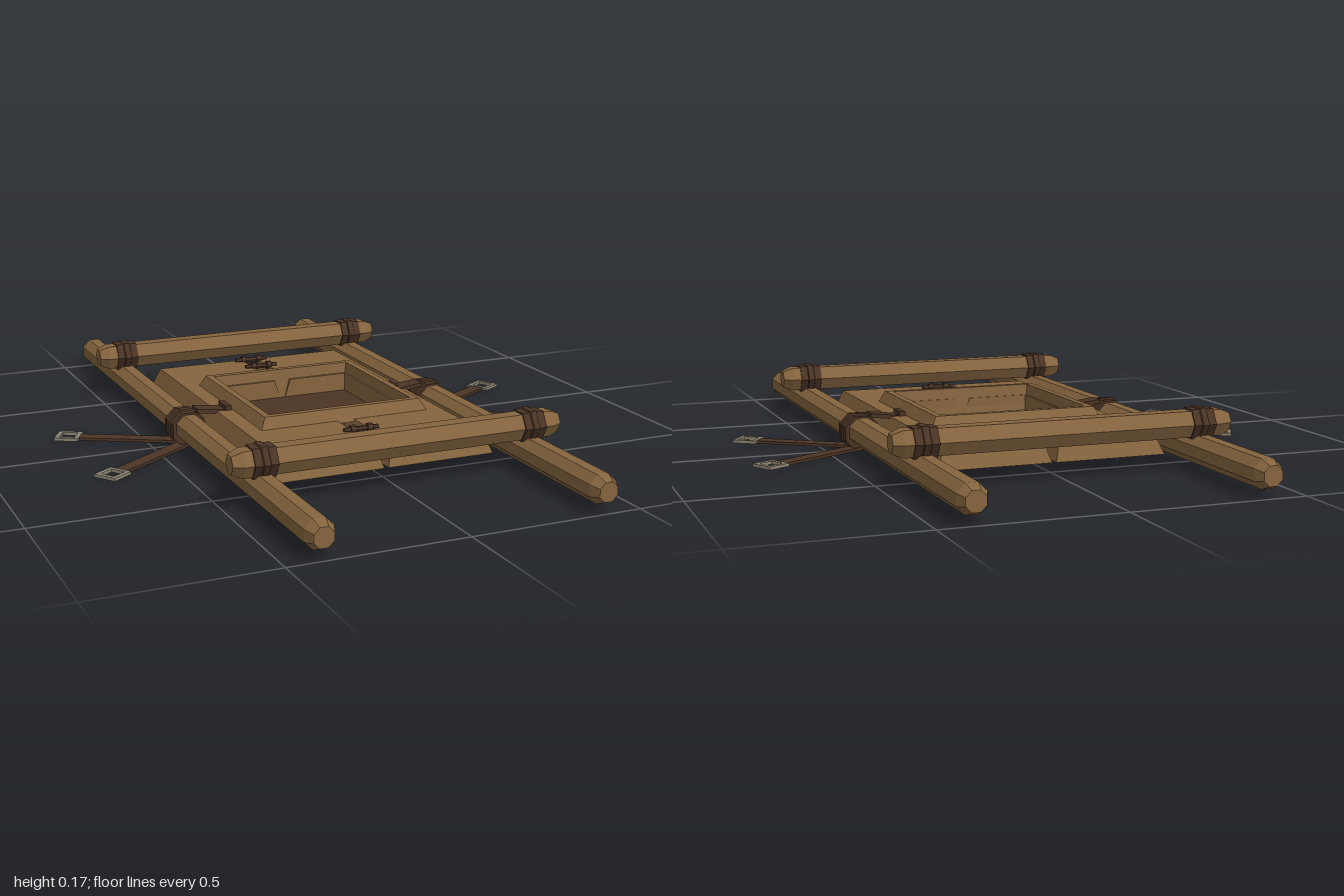
import * as THREE from 'three';

const mat = (name, color, side = THREE.FrontSide) => {
  const m = new THREE.MeshStandardMaterial({ color, flatShading: true, side });
  m.name = name;
  return m;
};

export function createModel() {
  const wood = mat('wood', 0x86653f);
  const leather = mat('dark leather', 0x4b3425);
  const metal = mat('buckle metal', 0x8c8474);
  const model = new THREE.Group();

  const add = (name, geo, material, x = 0, y = 0, z = 0, parent = model) => {
    const mesh = new THREE.Mesh(geo, material);
    mesh.name = name;
    mesh.position.set(x, y, z);
    parent.add(mesh);
    return mesh;
  };

  // faceted solid of revolution along y from [radius, y] pairs
  const turned = (pts, sides, start = 0) =>
    new THREE.LatheGeometry(pts.map(p => new THREE.Vector2(...p)), sides, start);

  // pole with chamfered ends
  const pole = (r, half, sides, start) => turned(
    [[0, -half], [r * 0.68, -half], [r, -half + 0.03], [r, half - 0.03], [r * 0.68, half], [0, half]], sides, start);

  // wrapped cord: three turns with the middle one raised
  const wrap = (r, half, sides, start) => {
    const a = half / 3, s = r * 0.92;
    return turned([[0, -half], [s, -half], [s, -a], [r, -a * 0.8], [r, a * 0.8], [s, a], [s, half], [0, half]], sides, start);
  };

  // box whose top edges are inset by [x0, x1, z0, z1]
  const bevelled = (x0, x1, z0, z1, y0, y1, inset) => {
    const g = new THREE.BoxGeometry(1, 1, 1), p = g.attributes.position;
    for (let i = 0; i < p.count; i++) {
      const k = p.getY(i) > 0 ? 1 : 0;
      p.setXYZ(i,
        p.getX(i) < 0 ? x0 + k * inset[0] : x1 - k * inset[1],
        k ? y1 : y0,
        p.getZ(i) < 0 ? z0 + k * inset[2] : z1 - k * inset[3]);
    }
    g.computeVertexNormals();
    return g;
  };

  // long side rails and their centre collars
  for (const s of [-1, 1]) {
    add('sideRail', pole(0.043, 1, 8, Math.PI / 8).rotateX(Math.PI / 2), wood, s * 0.4, 0.06, 0);
    add('railCollar', wrap(0.059, 0.038, 8, Math.PI / 8).rotateX(Math.PI / 2), leather, s * 0.4, 0.055, 0);
  }

  // cross bars lashed on top of the rails
  for (const z of [-0.6, 0.6]) {
    add('crossBar', pole(0.042, 0.488, 6).rotateZ(Math.PI / 2), wood, 0, 0.131, z);
    for (const x of [-0.4, 0.4])
      add('barLashing', wrap(0.051, 0.033, 6).rotateZ(Math.PI / 2), leather, x, 0.131, z);
  }

  // two bevelled deck panels, notched around the central well
  const b = 0.025, y0 = 0.033, y1 = 0.097, w = 0.215;
  for (const s of [-1, 1]) {
    const piece = (xa, xb, z0, z1, ia, ib, iz0, iz1) => add('deckPanel', s > 0
      ? bevelled(xa, xb, z0, z1, y0, y1, [ia, ib, iz0, iz1])
      : bevelled(-xb, -xa, z0, z1, y0, y1, [ib, ia, iz0, iz1]), wood);
    piece(0.006, 0.335, -0.53, -w, 0.02, b, b, 0);
    piece(0.006, 0.335, w, 0.525, 0.02, b, 0, b);
    piece(w, 0.335, -w, w, 0, b, 0, 0);
  }

  // raised square frame with inner walls down to the dark floor
  const q = Math.SQRT2;
  add('wellFrame', turned([[0.265 * q, 0.09], [0.245 * q, 0.13], [0.225 * q, 0.13], [0.214 * q, 0.035]],
    4, Math.PI / 4), wood, 0, 0, -0.003);
  add('wellFloor', new THREE.BoxGeometry(0.43, 0.01, 0.43), leather, 0, 0.037, 0);

  // cord ties across the seam between the panels
  for (const z of [-0.49, -0.4, 0.36, 0.45]) {
    add('seamTie', new THREE.CylinderGeometry(0.008, 0.008, 0.106, 6).rotateZ(Math.PI / 2), leather, 0, 0.1, z);
    for (const x of [-0.026, 0.026])
      add('tieKnot', new THREE.CylinderGeometry(0.014, 0.014, 0.016, 6).rotateZ(Math.PI / 2), leather, x, 0.1, z);
  }

  // square buckle outline
  const outline = new THREE.Shape([[-1, -1], [1, -1], [1, 1], [-1, 1]].map(c => new THREE.Vector2(c[0] * 0.036, c[1] * 0.036)));
  outline.holes.push(new THREE.Path([[-1, -1], [-1, 1], [1, 1], [1, -1]].map(c => new THREE.Vector2(c[0] * 0.023, c[1] * 0.023))));
  const buckleGeo = new THREE.ExtrudeGeometry(outline, { depth: 0.009, bevelEnabled: false }).rotateX(-Math.PI / 2);

  for (const s of [-1, 1]) {
    // short link from collar to deck, with its end loop
    const link = add('deckLink', new THREE.BoxGeometry(0.09, 0.012, 0.05), leather, s * 0.325, 0.098, 0);
    link.rotation.z = s * 0.12;
    add('linkLoop', new THREE.BoxGeometry(0.018, 0.022, 0.062), leather, s * 0.275, 0.1, 0);

    // splayed ground straps ending in buckles
    for (const [x, z] of [[0.685, 0.21], [0.705, -0.18]]) {
      const strap = new THREE.Group();
      strap.name = 'groundStrap';
      strap.position.set(s * 0.4, 0, z > 0 ? 0.012 : -0.012);
      const dx = s * (x - 0.4), dz = z - strap.position.z, len = Math.hypot(dx, dz);
      strap.rotation.y = Math.atan2(-dz, dx);
      add('strap', new THREE.BoxGeometry(len - 0.025, 0.008, 0.042), leather, (len - 0.025) / 2, 0.009, 0, strap);
      add('buckle', buckleGeo, metal, len, 0.006, 0, strap);
      model.add(strap);
    }
  }
  return model;
}
